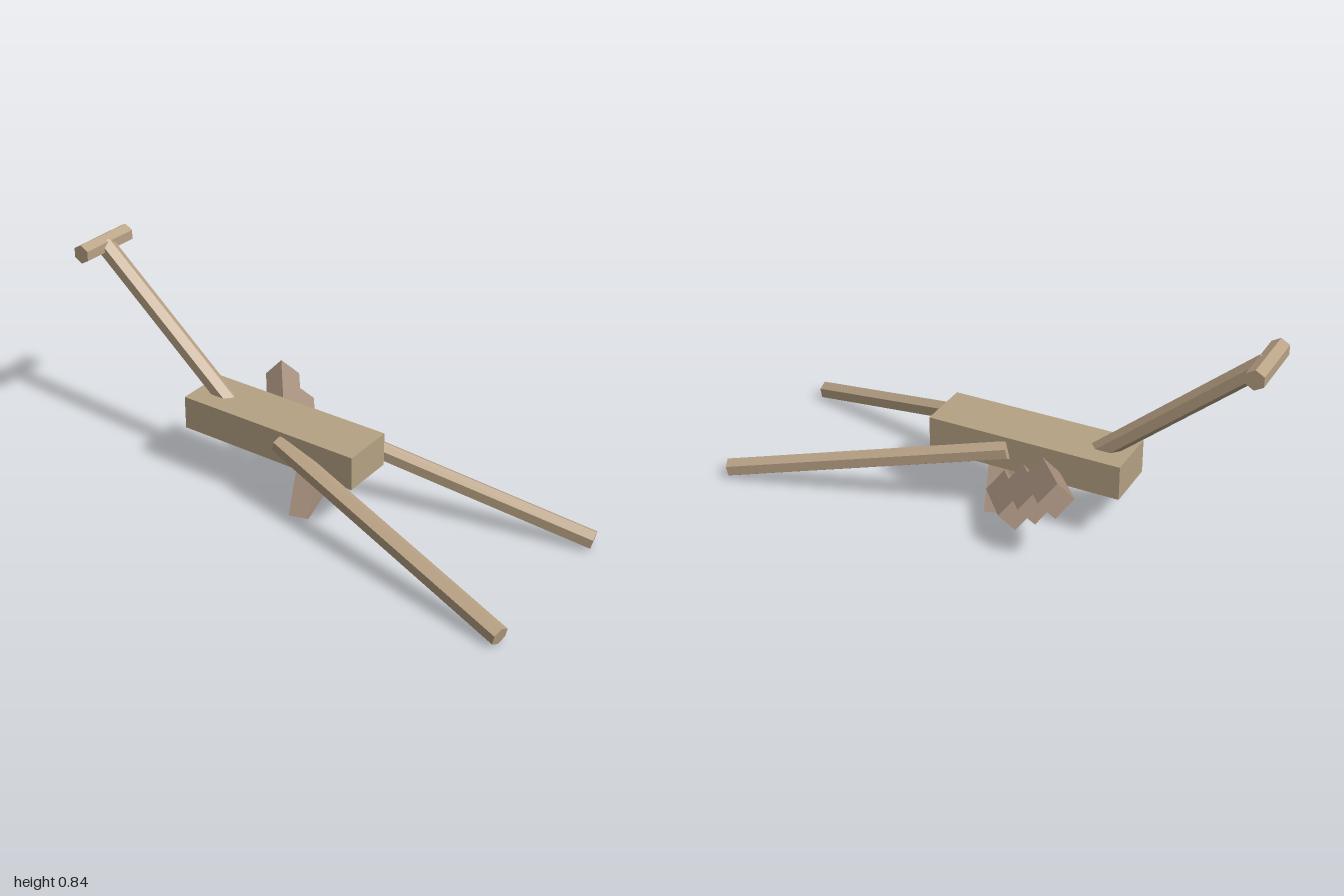
import * as THREE from 'three';

const V = (x, y, z) => new THREE.Vector3(x, y, z);
const paint = (color) => new THREE.MeshStandardMaterial({ color, flatShading: true });
const tan = paint(0xb5a284);
const wood = paint(0xbaa386);
const brown = paint(0xa8917e);

function add(parent, name, geometry, material) {
  const mesh = new THREE.Mesh(geometry, material);
  mesh.name = name;
  parent.add(mesh);
  return mesh;
}

// Six-sided rod from a to b with one ridge facing up
function hexRod(parent, name, a, b, radius = 0.037) {
  const dir = b.clone().sub(a);
  const rod = add(parent, name, new THREE.CylinderGeometry(radius, radius, dir.length(), 6), wood);
  dir.normalize();
  const side = dir.clone().cross(V(0, 1, 0)).normalize();
  const ridge = side.clone().cross(dir);
  rod.quaternion.setFromRotationMatrix(new THREE.Matrix4().makeBasis(side, dir, ridge));
  rod.position.copy(a).add(b).multiplyScalar(0.5);
}

export function createModel() {
  const model = new THREE.Group();
  model.name = 'model';

  // Long central block
  add(model, 'body', new THREE.BoxGeometry(0.21, 0.132, 0.755), tan).position.set(0, 0.271, -0.1325);

  // Rear handle with crossbar
  hexRod(model, 'handle', V(0, 0.275, -0.34), V(0, 0.807, -0.963));
  hexRod(model, 'crossbar', V(-0.126, 0.807, -0.967), V(0.126, 0.807, -0.967));

  // Pair of splayed front legs
  for (const [s, name] of [[1, 'leftLeg'], [-1, 'rightLeg']]) {
    hexRod(model, name, V(s * 0.1, 0.285, -0.075), V(s * 0.337, 0.04, 0.99));
  }

  // Flared foot: a trapezoid plate turned slightly about the vertical
  const outline = new THREE.Shape([[-0.1425, 0.027], [0.1425, 0.027], [0.025, 0.25], [-0.025, 0.25]]
    .map(([x, y]) => new THREE.Vector2(x, y)));
  const plate = new THREE.ExtrudeGeometry(outline, { depth: 0.076, bevelEnabled: false });
  plate.translate(0, 0, -0.038);
  add(model, 'foot', plate, brown).rotation.y = THREE.MathUtils.degToRad(15);

  // Three slanted blocks stepping up along the left side
  const along = V(0.777, 0.155, -0.61).normalize();
  const across = along.clone().cross(V(0.515, -0.68, 0.515)).normalize();
  const down = across.clone().cross(along);
  const tilt = new THREE.Matrix4().makeBasis(along, down, across);
  const blocks = new THREE.Group();
  blocks.name = 'sideBlocks';
  model.add(blocks);
  for (let i = 0; i < 3; i++) {
    const block = add(blocks, 'sideBlock' + (i + 1), new THREE.BoxGeometry(0.238, 0.096, 0.087), brown);
    block.quaternion.setFromRotationMatrix(tilt);
    block.position.set(0.179 + 0.028 * i, 0.1325 + 0.0685 * i, -0.1215 - 0.09 * i);
  }
  return model;
}
